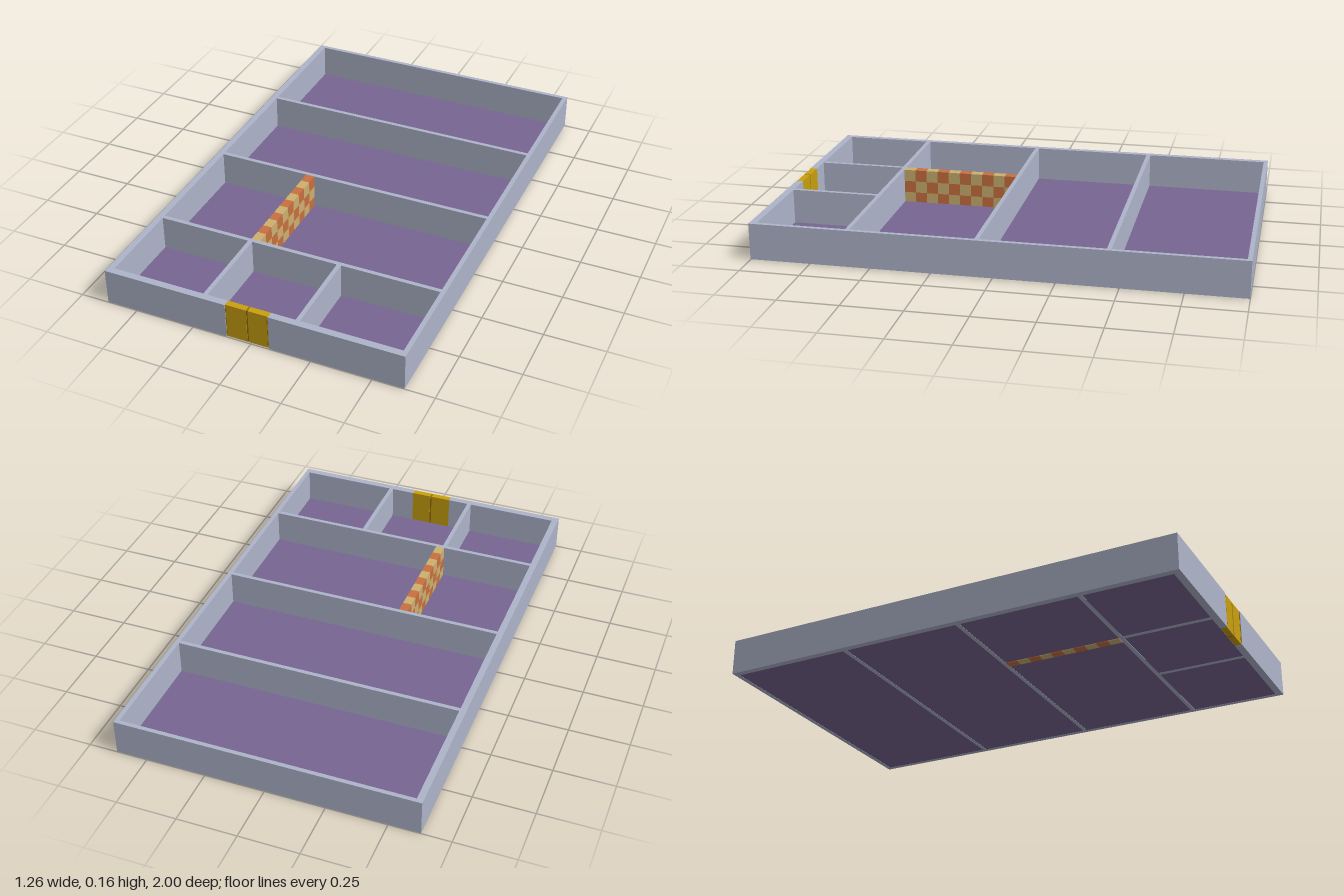
import * as THREE from 'three';

const mat = (name, color) => {
  const m = new THREE.MeshStandardMaterial({ color });
  m.name = name;
  return m;
};

export function createModel() {
  const model = new THREE.Group();
  model.name = 'floorPlan';

  const wallGrey = mat('wallGrey', 0xaeb4ca);
  const floorPurple = mat('floorPurple', 0x776592);
  const doorGold = mat('doorGold', 0xc9a00f);
  const doorSeam = mat('doorSeam', 0x8f7008);
  const brickOrange = mat('brickOrange', 0xc87040);
  const brickTan = mat('brickTan', 0xcdb070);

  // Box given by its minimum and maximum on each axis
  const block = (name, material, x0, x1, y0, y1, z0, z1, parent = model) => {
    const mesh = new THREE.Mesh(new THREE.BoxGeometry(x1 - x0, y1 - y0, z1 - z0), material);
    mesh.position.set((x0 + x1) / 2, (y0 + y1) / 2, (z0 + z1) / 2);
    mesh.name = name;
    parent.add(mesh);
    return mesh;
  };

  const base = 0.002, top = 0.155;
  const inL = -0.603, inR = 0.611;
  const wall = (name, x0, x1, z0, z1) => block(name, wallGrey, x0, x1, base, top, z0, z1);

  // Floor slab inside the outer walls
  block('floor', floorPurple, inL, inR, 0.003, 0.007, -0.982, 0.97);

  // Outer walls, with an opening for the door at the front
  const doorL = -0.104, doorR = 0.077;
  wall('rightOuterWall', -0.63, inL, -1, 1);
  wall('leftOuterWall', inR, 0.63, -1, 1);
  wall('backWall', inL, inR, -1, -0.982);
  wall('frontWallRight', inL, doorL, 0.97, 1);
  wall('frontWallLeft', doorR, inR, 0.97, 1);

  // Cross walls between the rooms
  for (const z of [-0.457, 0.065, 0.591]) wall('crossWall', inL, inR, z - 0.009, z + 0.009);

  // Partitions of the front rooms
  for (const x of [-0.202, 0.187]) wall('partition', x - 0.009, x + 0.009, 0.6, 0.97);

  // Checkered divider: ten bricks long, three courses high
  const divider = new THREE.Group();
  divider.name = 'checkeredDivider';
  model.add(divider);
  const z0 = 0.074, len = (0.582 - z0) / 10, rise = top / 3;
  for (let i = 0; i < 10; i++) {
    for (let j = 0; j < 3; j++) {
      block('brick', (i + j) % 2 ? brickTan : brickOrange, -0.204, -0.166,
        j * rise, (j + 1) * rise, z0 + i * len, z0 + (i + 1) * len, divider);
    }
  }

  // Double door with a darker seam and hinge barrels
  const door = new THREE.Group();
  door.name = 'doubleDoor';
  model.add(door);
  block('doorLeafRight', doorGold, doorL, -0.016, 0.004, top, 0.97, 0.997, door);
  block('doorLeafLeft', doorGold, -0.009, doorR, 0.004, top, 0.97, 0.997, door);
  block('doorSeam', doorSeam, -0.016, -0.009, 0.004, top, 0.972, 0.995, door);
  for (const x of [doorL + 0.003, doorR - 0.003]) {
    for (const y of [0.03, 0.08, 0.13]) {
      const hinge = new THREE.Mesh(new THREE.CylinderGeometry(0.003, 0.003, 0.025, 10), doorSeam);
      hinge.position.set(x, y, 0.997);
      hinge.name = 'hinge';
      door.add(hinge);
    }
  }

  return model;
}
